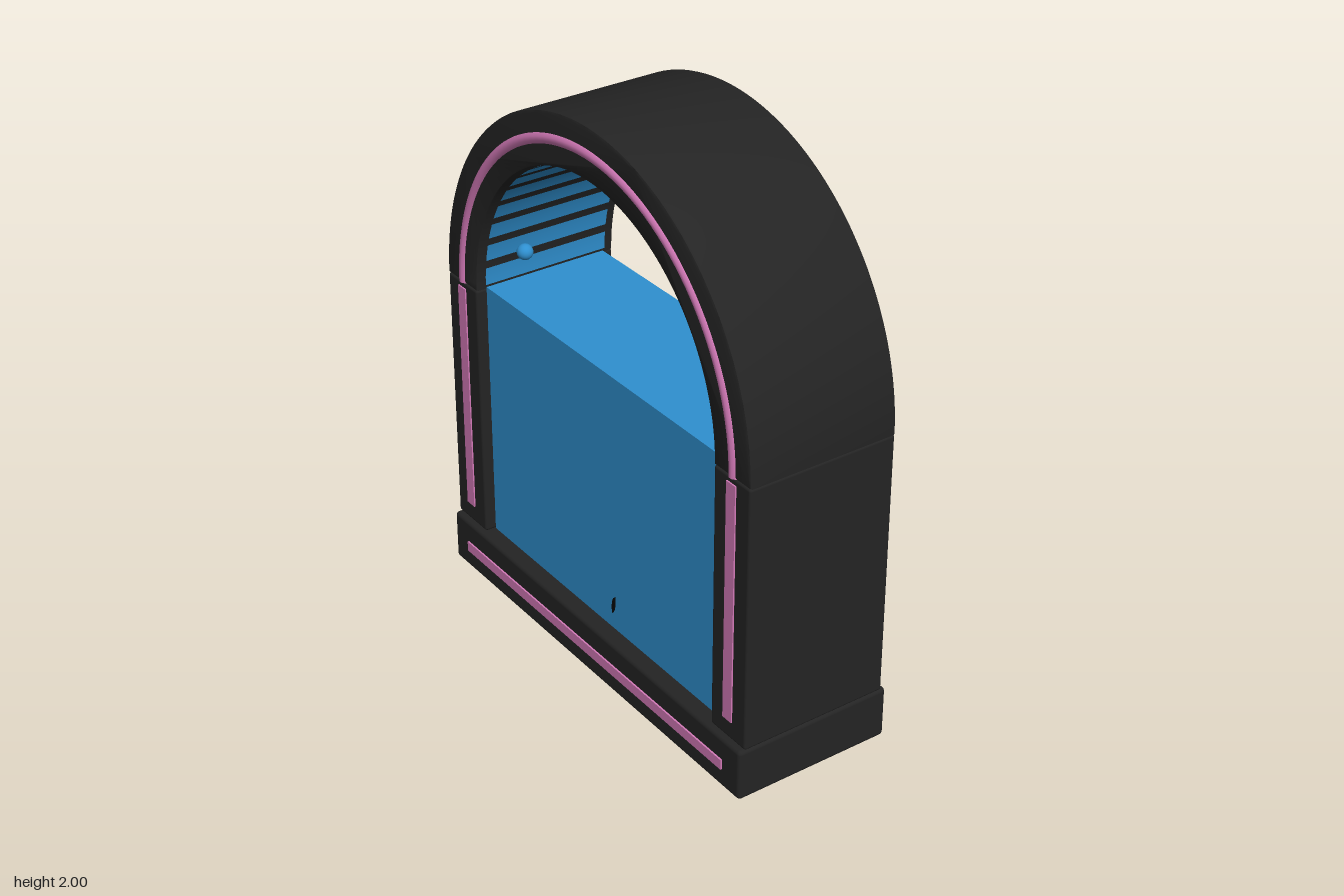
import * as THREE from 'three';
import { toCreasedNormals } from 'three/addons/utils/BufferGeometryUtils.js';
import { RoundedBoxGeometry } from 'three/addons/geometries/RoundedBoxGeometry.js';

const OUTER = 0.85, INNER = 0.67, SPRING = 1.15, BASE = 0.19, HALF_DEPTH = 0.275;

function material(name, color, side = THREE.FrontSide) {
  const m = new THREE.MeshStandardMaterial({ color, side });
  m.name = name;
  return m;
}

export function createModel() {
  const group = new THREE.Group();
  const dark = material('charcoal', 0x242424);
  const pink = material('pink', 0xd67bba);
  const blue = material('waterBlue', 0x2f90d0, THREE.DoubleSide);
  const black = material('black', 0x080808, THREE.DoubleSide);

  function add(name, geometry, mat, x = 0, y = 0, z = 0) {
    const mesh = new THREE.Mesh(geometry, mat);
    mesh.name = name;
    mesh.position.set(x, y, z);
    group.add(mesh);
    return mesh;
  }

  // Plinth
  add('base', new RoundedBoxGeometry(1.7, BASE, 0.59, 3, 0.015), dark, 0, BASE / 2, 0);
  add('baseStrip', new THREE.BoxGeometry(1.52, 0.038, 0.009), pink, 0, 0.09, 0.2965);

  // Side posts with light strips
  const postHeight = SPRING - BASE;
  for (const side of [-1, 1]) {
    add('post', new RoundedBoxGeometry(OUTER - INNER, postHeight, HALF_DEPTH * 2, 3, 0.01), dark,
      side * (OUTER + INNER) / 2, BASE + postHeight / 2, 0);
    add('postStrip', new THREE.BoxGeometry(0.045, 0.87, 0.009), pink, side * 0.76, 0.695, 0.2755);
  }

  // Half-round arch with softened edges
  const archShape = new THREE.Shape();
  archShape.absarc(0, 0, OUTER, 0, Math.PI, false);
  archShape.absarc(0, 0, INNER, Math.PI, 0, true);
  archShape.closePath();
  const bevel = 0.008;
  const archGeometry = new THREE.ExtrudeGeometry(archShape, {
    depth: 2 * (HALF_DEPTH - bevel), curveSegments: 40, bevelEnabled: true,
    bevelSize: bevel, bevelThickness: bevel, bevelOffset: -bevel, bevelSegments: 2,
  });
  archGeometry.translate(0, 0, -HALF_DEPTH + bevel);
  add('arch', toCreasedNormals(archGeometry, 0.6), dark, 0, SPRING, 0);
  add('archStrip', new THREE.TorusGeometry(0.76, 0.022, 10, 64, Math.PI), pink, 0, SPRING, 0.262);

  // Water block
  add('water', new THREE.BoxGeometry(INNER * 2, 0.965, 0.47), blue, 0, BASE + 0.4825, 0);

  // Blue slats lining the underside of the arch
  const slats = 22, step = Math.PI / slats;
  for (let i = 0; i < slats; i++) {
    const slat = new THREE.CylinderGeometry(INNER - 0.004, INNER - 0.004, 0.48, 2, 1, true,
      (i + 0.16) * step, step * 0.68);
    // Lay the cylinder along z, with its sweep over the upper half
    slat.rotateY(Math.PI / 2);
    slat.rotateX(Math.PI / 2);
    slat.rotateZ(slat.attributes.position.getY(0) < 0 ? Math.PI : 0);
    add('archSlat', slat, blue, 0, SPRING, 0);
  }

  // Floating bubble
  add('bubble', new THREE.SphereGeometry(0.028, 20, 14), blue, -0.54, 1.32, 0.16);

  // Small dark fins breaking the water surface
  function fin(name, height, width, x, y, z) {
    const s = new THREE.Shape();
    s.moveTo(-width * 0.5, -height / 2);
    s.quadraticCurveTo(width * 0.8, -height * 0.2, width * 0.5, height / 2);
    s.quadraticCurveTo(-width * 0.9, height * 0.3, -width * 0.5, -height / 2);
    const g = new THREE.ExtrudeGeometry(s, { depth: 0.012, bevelEnabled: false });
    add(name, g, black, x, y, z);
  }
  fin('frontFin', 0.07, 0.014, 0.075, 0.285, 0.228);
  fin('topFin', 0.05, 0.016, 0.3, 1.16, -0.18);

  return group;
}
